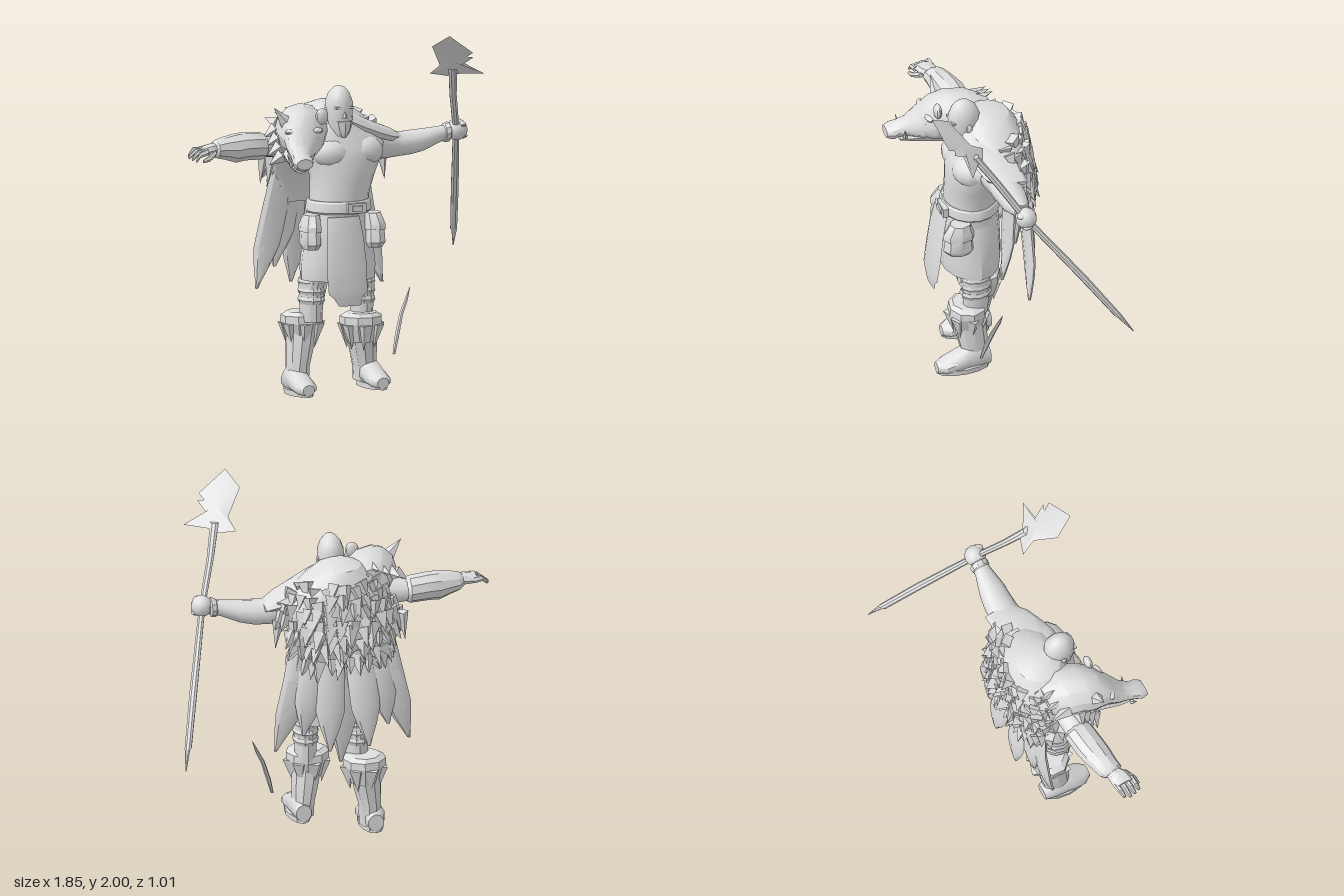
import * as THREE from 'three';
import { toCreasedNormals } from 'three/addons/utils/BufferGeometryUtils.js';

export function createModel() {
  const model = new THREE.Group();
  const clay = new THREE.MeshStandardMaterial({ color: 0xdedede, side: THREE.DoubleSide });
  clay.name = 'clay grey';
  let seed = 7;
  const rnd = () => (seed = (seed * 16807) % 2147483647) / 2147483647;

  function add(name, geo, parent = model, crease = 0.55) {
    const mesh = new THREE.Mesh(toCreasedNormals(geo, crease), clay);
    mesh.name = name;
    parent.add(mesh);
    return mesh;
  }
  function group(name) {
    const g = new THREE.Group();
    g.name = name;
    model.add(g);
    return g;
  }

  // Skin through elliptical rings [x, y, z, a, b] stacked along one axis.
  // Half sizes a, b are (x, z) for 'y', (z, y) for 'x' and (y, x) for 'z'.
  const AXES = { y: [0, 2, 1], x: [2, 1, 0], z: [1, 0, 2] };
  function loft(axis, rings, n = 12) {
    const [u, v, w] = AXES[axis];
    if (rings[rings.length - 1][w] < rings[0][w]) rings = [...rings].reverse();
    const pos = [], idx = [], last = rings.length - 1;
    for (const r of rings) for (let i = 0; i < n; i++) {
      const t = (i / n) * Math.PI * 2, p = [r[0], r[1], r[2]];
      p[u] += r[3] * Math.cos(t);
      p[v] += r[4] * Math.sin(t);
      pos.push(...p);
    }
    pos.push(...rings[0].slice(0, 3), ...rings[last].slice(0, 3));
    const c0 = rings.length * n;
    for (let i = 0; i < n; i++) {
      const j = (i + 1) % n;
      for (let k = 0; k < last; k++) {
        const a = k * n + i, b = k * n + j;
        idx.push(a, a + n, b, b, a + n, b + n);
      }
      idx.push(c0, i, j, c0 + 1, last * n + j, last * n + i);
    }
    const g = new THREE.BufferGeometry();
    g.setAttribute('position', new THREE.Float32BufferAttribute(pos, 3));
    g.setIndex(idx);
    return g;
  }
  const ball = (x, y, z, a, b, c) => new THREE.SphereGeometry(1, 12, 9).scale(a, b, c).translate(x, y, z);
  const block = (x, y, z, a, b, c) => new THREE.BoxGeometry(a, b, c).translate(x, y, z);
  // Pointed tuft, horn or tusk starting at p and running along d
  function spike(p, d, radius, length, sides = 5) {
    const dir = new THREE.Vector3(...d).normalize();
    const q = new THREE.Quaternion().setFromUnitVectors(new THREE.Vector3(0, 1, 0), dir);
    return new THREE.ConeGeometry(radius, length, sides).translate(0, length * 0.4, 0)
      .applyQuaternion(q).translate(...p);
  }

  // Torso
  add('torso', loft('y', [[-0.03, 0.96, 0.12, 0.17, 0.15], [-0.03, 1.1, 0.12, 0.165, 0.145],
    [-0.01, 1.2, 0.11, 0.18, 0.155], [0, 1.3, 0.1, 0.215, 0.165], [0, 1.38, 0.09, 0.24, 0.155],
    [-0.02, 1.45, 0.08, 0.19, 0.13], [-0.04, 1.52, 0.11, 0.08, 0.08]], 18), model, 1);
  for (const s of [-1, 1]) add('chestMuscle', ball(s * 0.09, 1.34, 0.155, 0.12, 0.09, 0.105), model, 1);

  // Head, face and beard
  const head = group('head');
  add('skull', loft('y', [[-0.045, 1.43, 0.16, 0.05, 0.06], [-0.045, 1.49, 0.15, 0.07, 0.08],
    [-0.045, 1.56, 0.15, 0.074, 0.085], [-0.045, 1.62, 0.15, 0.074, 0.088], [-0.045, 1.67, 0.15, 0.056, 0.07],
    [-0.045, 1.7, 0.155, 0.03, 0.04], [-0.045, 1.71, 0.155, 0.008, 0.01]], 14), head, 1);
  add('nose', spike([-0.045, 1.545, 0.232], [0, 1, -0.12], 0.014, 0.06, 4), head);
  add('beard', loft('y', [[-0.045, 1.43, 0.22, 0.012, 0.012], [-0.045, 1.47, 0.205, 0.042, 0.035],
    [-0.045, 1.52, 0.2, 0.055, 0.04]], 8), head);
  for (const s of [-1, 1]) {
    add('brow', block(-0.045 + s * 0.032, 1.595, 0.222, 0.04, 0.012, 0.022), head);
    add('ear', ball(-0.045 + s * 0.073, 1.56, 0.14, 0.01, 0.03, 0.018), head);
  }

  // Belt and buckle
  add('belt', loft('y', [[-0.035, 1.01, 0.12, 0.176, 0.158], [-0.035, 1.02, 0.12, 0.184, 0.166],
    [-0.035, 1.07, 0.12, 0.178, 0.162], [-0.035, 1.08, 0.12, 0.17, 0.154]], 16));
  add('buckle', block(0.0, 1.045, 0.285, 0.11, 0.055, 0.03));
  add('buckle', block(0.0, 1.045, 0.3, 0.06, 0.03, 0.02));

  // Skirt with a front apron and pouches
  add('skirt', loft('y', [[-0.04, 0.64, 0.12, 0.215, 0.16], [-0.04, 0.72, 0.12, 0.215, 0.17],
    [-0.04, 0.88, 0.12, 0.195, 0.165], [-0.04, 1.01, 0.12, 0.17, 0.155]], 14));
  add('frontApron', loft('y', [[-0.06, 0.515, 0.335, 0.065, 0.006], [-0.07, 0.56, 0.335, 0.085, 0.01],
    [-0.07, 0.585, 0.333, 0.115, 0.012], [-0.07, 0.72, 0.315, 0.12, 0.016], [-0.07, 0.88, 0.295, 0.11, 0.018],
    [-0.07, 1.0, 0.27, 0.095, 0.02]], 8));
  for (const [x, z, w, t] of [[0.125, 0.235, 0.055, 0.09], [-0.235, 0.19, 0.05, 0.09]]) {
    add('pouch', loft('y', [[x, 0.82, z, w * 0.8, t * 0.7], [x, 0.85, z, w * 1.1, t],
      [x, 0.95, z, w, t * 0.85], [x * 0.93, 1.01, z - 0.02, w * 0.8, t * 0.6]], 8));
    add('pouchFlap', loft('y', [[x, 0.92, z, w * 1.15, t], [x, 0.95, z, w * 1.12, t],
      [x * 0.95, 1.01, z - 0.01, w * 0.9, t * 0.65]], 8));
  }

  // Legs: hip, knee and ankle positions, then cuff centre, heel, toe, sole height and foot x
  const legs = [
    ['rightLeg', -0.14, 0.11, -0.175, 0.07, -0.235, 0.02, -0.2, 0.0, -0.07, 0.21, 0, -0.25],
    ['leftLeg', 0.08, 0.12, 0.1, 0.13, 0.11, 0.14, 0.08, 0.17, 0.06, 0.365, 0.04, 0.125]];
  for (const [name, hx, hz, kx, kz, ax, az, cx, cz, heel, toe, sole, fx] of legs) {
    const leg = group(name);
    add('thigh', loft('y', [[kx, 0.4, kz, 0.06, 0.07], [kx, 0.5, kz, 0.062, 0.075], [kx, 0.6, kz, 0.068, 0.085],
      [hx, 0.78, hz, 0.08, 0.1]]), leg);
    for (const y of [0.52, 0.57, 0.62]) add('legWrap', loft('y', [[kx, y - 0.02, kz, 0.064, 0.08],
      [kx, y, kz, 0.073, 0.09], [kx, y + 0.02, kz, 0.066, 0.084]], 10), leg);
    add('bootShaft', loft('y', [[ax, sole + 0.03, az, 0.06, 0.075], [ax, 0.15, az, 0.064, 0.08],
      [(ax + cx) / 2, 0.26, (az + cz) / 2, 0.078, 0.088], [cx, 0.38, cz, 0.085, 0.09]], 10), leg);
    add('bootCuff', loft('y', [[cx, 0.29, cz, 0.08, 0.085], [cx, 0.34, cz, 0.102, 0.095],
      [cx, 0.39, cz, 0.12, 0.11], [cx, 0.43, cz, 0.12, 0.105], [cx, 0.45, cz, 0.085, 0.085]], 9), leg, 0.2);
    for (let i = 0; i < 7; i++) {
      const t = (i / 7) * Math.PI * 2, c = Math.cos(t), s = Math.sin(t);
      add('cuffPoint', spike([cx + c * 0.092, 0.375, cz + s * 0.088], [-c * 0.1, -1, -s * 0.1], 0.045, 0.14, 4), leg);
    }
    const at = (f) => heel + (toe - heel) * f;
    add('foot', loft('z', [[fx, sole + 0.06, heel, 0.05, 0.045], [fx, sole + 0.08, at(0.2), 0.08, 0.062],
      [fx, sole + 0.075, at(0.45), 0.075, 0.066], [fx, sole + 0.058, at(0.65), 0.058, 0.07],
      [fx, sole + 0.044, at(0.85), 0.044, 0.066], [fx, sole + 0.038, toe, 0.03, 0.035]], 10), leg, 0.8);
    add('sole', loft('y', [[fx, sole, at(0.5), 0.066, (toe - heel) / 2],
      [fx, sole + 0.03, at(0.5), 0.068, (toe - heel) / 2]], 12), leg);
  }

  // Right arm with bracer and open hand
  const rArm = group('rightArm');
  add('upperArm', loft('x', [[-0.18, 1.4, 0.06, 0.09, 0.1], [-0.32, 1.385, 0.05, 0.085, 0.075],
    [-0.47, 1.385, 0.04, 0.068, 0.06]]), rArm, 0.9);
  add('bracer', loft('x', [[-0.43, 1.385, 0.04, 0.06, 0.055], [-0.46, 1.385, 0.04, 0.082, 0.075],
    [-0.57, 1.39, 0.05, 0.084, 0.078], [-0.63, 1.385, 0.06, 0.08, 0.08], [-0.7, 1.39, 0.07, 0.07, 0.062],
    [-0.75, 1.39, 0.08, 0.065, 0.05], [-0.77, 1.39, 0.08, 0.04, 0.035]], 10), rArm);
  add('palm', loft('x', [[-0.74, 1.395, 0.08, 0.035, 0.032], [-0.79, 1.395, 0.1, 0.055, 0.033],
    [-0.85, 1.39, 0.11, 0.06, 0.025]], 8), rArm);
  for (let i = 0; i < 4; i++) {
    const z = 0.065 + i * 0.031, tip = -0.925 + Math.abs(i - 1.2) * 0.012;
    add('finger', loft('x', [[-0.83, 1.39, z, 0.016, 0.018], [-0.88, 1.395 - i * 0.006, z + 0.005, 0.015, 0.016],
      [tip, 1.365 - i * 0.006, z + 0.012, 0.009, 0.01]], 6), rArm);
  }
  add('thumb', loft('x', [[-0.78, 1.38, 0.14, 0.02, 0.02], [-0.83, 1.355, 0.175, 0.016, 0.016],
    [-0.87, 1.345, 0.185, 0.009, 0.009]], 6), rArm);

  // Left arm gripping the polearm
  const lArm = group('leftArm');
  add('arm', loft('x', [[0.15, 1.37, 0.06, 0.1, 0.1], [0.27, 1.35, 0.04, 0.09, 0.085], [0.36, 1.34, 0.03, 0.088, 0.068],
    [0.43, 1.345, 0.03, 0.082, 0.068], [0.5, 1.355, 0.035, 0.075, 0.062], [0.6, 1.38, 0.04, 0.05, 0.045],
    [0.67, 1.395, 0.04, 0.04, 0.04]]), lArm, 0.9);
  add('wristBand', loft('x', [[0.62, 1.385, 0.04, 0.04, 0.04], [0.63, 1.385, 0.04, 0.052, 0.052],
    [0.655, 1.39, 0.04, 0.054, 0.056], [0.665, 1.39, 0.04, 0.04, 0.04]], 10), lArm);
  add('fist', ball(0.705, 1.4, 0.045, 0.06, 0.06, 0.06), lArm, 0.9);
  for (let i = 0; i < 4; i++) add('knuckle', ball(0.74 - i * 0.006, 1.365 + i * 0.022, 0.05 + i * 0.008, 0.024, 0.016, 0.03), lArm);

  // Polearm: bent shaft with a flat jagged blade
  const pole = group('polearm');
  add('shaft', loft('y', [[0.925, 0.665, -0.5, 0.003, 0.003], [0.9, 0.76, -0.43, 0.015, 0.016], [0.893, 0.77, -0.42, 0.02, 0.02],
    [0.82, 1.02, -0.24, 0.022, 0.024], [0.7, 1.4, 0.05, 0.018, 0.022], [0.62, 1.62, 0.19, 0.02, 0.024],
    [0.57, 1.78, 0.3, 0.025, 0.026]], 8), pole);
  const onBlade = ([x, y]) => [x, y, 0.505 + 0.535 * (x - 0.46) + 1.181 * (y - 2)];
  const rim = [[0.46, 2], [0.62, 1.89], [0.6, 1.865], [0.635, 1.86], [0.6, 1.81], [0.635, 1.775], [0.73, 1.755],
    [0.61, 1.75], [0.56, 1.735], [0.47, 1.75], [0.495, 1.805], [0.405, 1.93]].map(onBlade);
  for (const s of [-0.014, 0.014]) {
    const [hx, hy, hz] = onBlade([0.54, 1.845]);
    const hub = [hx - 0.325 * s, hy - 0.72 * s, hz + 0.61 * s];
    const pts = rim.flatMap((p, i) => {
      const q = rim[(i + 1) % rim.length];
      return s < 0 ? [...hub, ...p, ...q] : [...hub, ...q, ...p];
    });
    const g = new THREE.BufferGeometry();
    g.setAttribute('position', new THREE.Float32BufferAttribute(pts, 3));
    add('blade', g, pole);
  }

  // Loose curved blade beside the left leg
  add('curvedDagger', loft('y', [[0.28, 0.2, 0.16, 0.008, 0.008], [0.305, 0.29, 0.14, 0.013, 0.014],
    [0.345, 0.41, 0.11, 0.012, 0.014], [0.38, 0.48, 0.095, 0.01, 0.012], [0.41, 0.55, 0.08, 0.002, 0.002]], 6));

  // Fur mantle: smooth over the shoulders, ragged tufts down the back
  const mantle = group('furMantle');
  const hump = [[-0.05, 1.04, -0.12, 0.2, 0.04], [-0.05, 1.15, -0.12, 0.27, 0.07], [-0.05, 1.28, -0.08, 0.31, 0.12],
    [-0.03, 1.37, -0.02, 0.34, 0.165], [-0.04, 1.45, 0, 0.27, 0.18], [-0.05, 1.53, 0.01, 0.19, 0.16],
    [-0.06, 1.585, 0.01, 0.12, 0.12], [-0.06, 1.61, 0.02, 0.05, 0.06]];
  add('pelt', loft('y', hump, 18), mantle, 0.4);
  const ringAt = (y) => {
    let k = 0;
    while (k < hump.length - 2 && hump[k + 1][1] < y) k++;
    const f = (y - hump[k][1]) / (hump[k + 1][1] - hump[k][1]);
    return hump[k].map((v, i) => v + (hump[k + 1][i] - v) * f);
  };
  for (let row = 0; row < 8; row++) {
    const [x, y, z, a, b] = ringAt(1.1 + row * 0.058), n = Math.round(5 + a * 30);
    for (let i = 0; i < n; i++) {
      const t = Math.PI * (1.02 + (0.96 * (i + 0.2 + rnd() * 0.6)) / n), c = Math.cos(t), s = Math.sin(t);
      add('furTuft', spike([x + c * a * 0.97, y + (rnd() - 0.5) * 0.05, z + s * b * 0.97],
        [c * 0.4 + (rnd() - 0.5) * 0.7, -1, s * 0.5 - rnd() * 0.2], 0.034 + rnd() * 0.018, 0.08 + rnd() * 0.05, 4), mantle);
    }
  }
  for (const [x, z] of [[0.27, 0.02], [0.3, -0.06], [-0.38, -0.02], [-0.39, -0.1]])
    add('sideTuft', spike([x, 1.3, z], [Math.sign(x) * 0.1, -1, 0], 0.035, 0.17, 4), mantle);
  add('shoulderFold', loft('x', [[0.01, 1.51, 0.09, 0.1, 0.06], [0.1, 1.47, 0.08, 0.115, 0.055],
    [0.2, 1.43, 0.05, 0.12, 0.05], [0.29, 1.4, 0.03, 0.11, 0.045], [0.37, 1.385, 0, 0.08, 0.015]], 10), mantle);

  // Ragged cape strips: top x, tip x, tip y, tip z, half width
  const cape = group('cape');
  for (const [x, tx, ty, tz, w] of [[-0.27, -0.425, 0.57, -0.1, 0.085], [-0.21, -0.3, 0.68, -0.14, 0.09],
    [-0.14, -0.18, 0.58, -0.19, 0.09], [-0.05, -0.05, 0.45, -0.07, 0.09], [0.03, 0.04, 0.57, -0.19, 0.09],
    [0.11, 0.18, 0.66, -0.15, 0.09], [0.17, 0.325, 0.56, -0.1, 0.085]]) {
    const at = (f, k, t) => [x + (tx - x) * f ** 1.4, 1.22 + (ty - 1.22) * f,
      -0.1 + (tz + 0.1) * f - 0.03 * Math.sin(f * 3), w * k, t];
    add('capeStrip', loft('y', [at(0, 0.8, 0.025), at(0.35, 0.95, 0.028), at(0.65, 0.9, 0.026),
      at(0.8, 0.6, 0.022), at(0.92, 0.28, 0.016), at(1, 0.1, 0.008)], 8), cape);
  }

  // Beast head resting on the right shoulder
  const beast = group('beastHead');
  add('beastSkull', loft('z', [[-0.22, 1.47, -0.05, 0.09, 0.11], [-0.24, 1.475, 0.06, 0.135, 0.15],
    [-0.27, 1.47, 0.17, 0.14, 0.15], [-0.295, 1.455, 0.25, 0.125, 0.125], [-0.33, 1.415, 0.31, 0.09, 0.1],
    [-0.365, 1.375, 0.37, 0.055, 0.065], [-0.385, 1.355, 0.42, 0.047, 0.056], [-0.39, 1.345, 0.45, 0.048, 0.062],
    [-0.395, 1.34, 0.485, 0.03, 0.048]], 12), beast);
  add('lowerJaw', loft('z', [[-0.31, 1.36, 0.2, 0.07, 0.09], [-0.36, 1.32, 0.33, 0.04, 0.06],
    [-0.385, 1.3, 0.41, 0.02, 0.035]], 8), beast);
  add('beastEar', ball(-0.19, 1.56, 0.25, 0.038, 0.045, 0.022), beast);
  add('beastEar', spike([-0.38, 1.53, 0.19], [-0.6, 0.7, 0.1], 0.045, 0.13, 5), beast);
  for (const s of [-1, 1]) {
    add('tusk', spike([-0.38 + s * 0.055, 1.33, 0.39], [s * 0.5, 1, 0.2], 0.014, 0.08, 5), beast);
    add('beastEye', ball(-0.32 + s * 0.075, 1.455, 0.295, 0.016, 0.012, 0.016), beast);
    add('beastBrow', ball(-0.31 + s * 0.07, 1.49, 0.28, 0.045, 0.016, 0.025), beast);
  }
  for (let i = 0; i < 4; i++)
    add('cheekFur', spike([-0.4, 1.34 + i * 0.045, 0.17 - i * 0.03], [-1, -0.7, -0.2], 0.04, 0.09, 4), beast);
  for (let i = 0; i < 5; i++)
    add('mane', spike([-0.12 - i * 0.06, 1.55 - Math.abs(i - 2) * 0.025, 0.02], [-0.2, 0.15, -1], 0.04, 0.13, 4), beast);

  return model;
}
